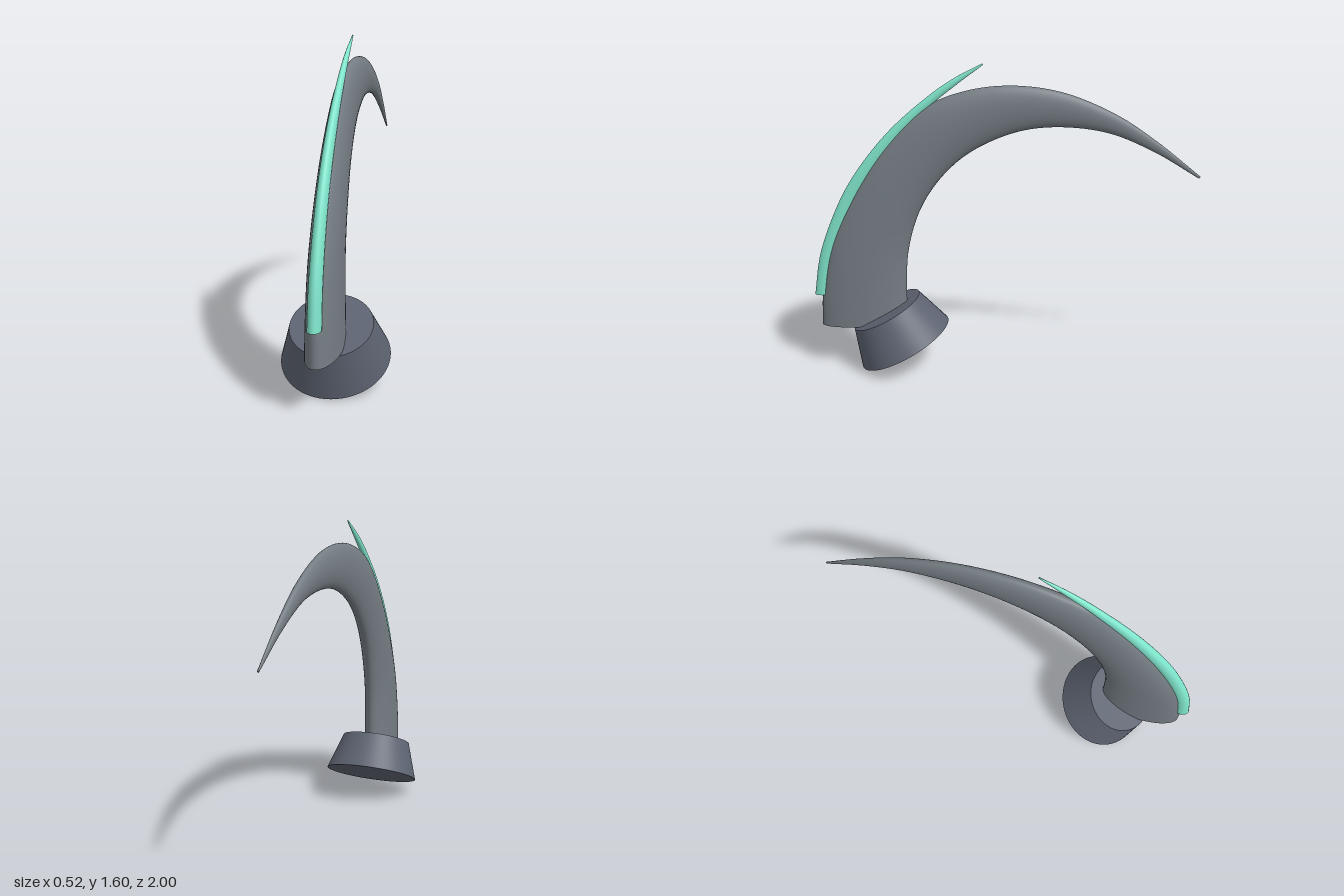
import * as THREE from 'three';

// Rows are [outer z, outer y, inner z, inner y, half width]; elliptical sections are lofted through them.
const hornRows = [
  [0.97, 0.23, 0.515, 0.25, 0.082], [0.96, 0.4, 0.515, 0.453, 0.078],
  [0.905, 0.667, 0.5, 0.64, 0.073], [0.755, 0.97, 0.44, 0.843, 0.067],
  [0.595, 1.2, 0.345, 1.0, 0.06], [0.39, 1.39, 0.22, 1.125, 0.054],
  [0.195, 1.467, 0.077, 1.21, 0.048], [-0.03, 1.493, -0.1, 1.27, 0.042],
  [-0.285, 1.46, -0.297, 1.285, 0.034], [-0.555, 1.35, -0.527, 1.253, 0.025],
  [-0.77, 1.21, -0.757, 1.157, 0.015], [-0.997, 1.03, -0.99, 1.02, 0.004],
];
const stripRows = [
  [1.0, 0.4, 0.915, 0.4, 0.031], [0.965, 0.603, 0.885, 0.58, 0.03],
  [0.895, 0.8, 0.82, 0.77, 0.028], [0.785, 1.013, 0.72, 0.97, 0.026],
  [0.595, 1.253, 0.552, 1.2, 0.022], [0.382, 1.44, 0.36, 1.4, 0.016],
  [0.25, 1.53, 0.235, 1.5, 0.011], [0.11, 1.602, 0.107, 1.594, 0.003],
];

function loftGeometry(rows, steps, sides) {
  const outer = new THREE.CatmullRomCurve3(rows.map(r => new THREE.Vector3(r[4], r[1], r[0])));
  const inner = new THREE.CatmullRomCurve3(rows.map(r => new THREE.Vector3(0, r[3], r[2])));
  const positions = [], index = [], rings = [];
  for (let i = 0; i <= steps; i++) {
    const o = outer.getPoint(i / steps), n = inner.getPoint(i / steps);
    const cy = (o.y + n.y) / 2, cz = (o.z + n.z) / 2;
    const ring = [];
    for (let j = 0; j < sides; j++) {
      const a = (j / sides) * Math.PI * 2;
      ring.push([o.x * Math.sin(a), cy + (o.y - cy) * Math.cos(a), cz + (o.z - cz) * Math.cos(a)]);
    }
    rings.push({ ring, centre: [0, cy, cz] });
    positions.push(...ring.flat());
  }
  for (let i = 0; i < steps; i++) {
    for (let j = 0; j < sides; j++) {
      const k = (j + 1) % sides;
      const a = i * sides + j, b = i * sides + k;
      index.push(a, b, a + sides, b, b + sides, a + sides);
    }
  }
  // End caps have their own vertices so that their rims stay sharp
  for (const end of [0, steps]) {
    const start = positions.length / 3;
    positions.push(...rings[end].ring.flat(), ...rings[end].centre);
    for (let j = 0; j < sides; j++) {
      const a = start + j, b = start + (j + 1) % sides, c = start + sides;
      index.push(c, ...(end === 0 ? [b, a] : [a, b]));
    }
  }
  const geometry = new THREE.BufferGeometry();
  geometry.setAttribute('position', new THREE.Float32BufferAttribute(positions, 3));
  geometry.setIndex(index);
  geometry.computeVertexNormals();
  return geometry;
}

export function createModel() {
  const model = new THREE.Group();
  model.name = 'hornOnBase';

  function add(name, geometry, color) {
    const mesh = new THREE.Mesh(geometry, new THREE.MeshStandardMaterial({ color }));
    mesh.name = name;
    model.add(mesh);
    return mesh;
  }

  // Curved, flattened horn tapering to the rear tip
  add('horn', loftGeometry(hornRows, 88, 40), 0x747c83);

  // Slim coloured strip along the outer edge, its tip standing free
  add('edgeStrip', loftGeometry(stripRows, 56, 24), 0x7fe5cc);

  // Tilted conical base
  const base = add('base', new THREE.CylinderGeometry(0.195, 0.26, 0.207, 64), 0x5c6270);
  base.position.set(0, 0.215, 0.579);
  base.rotation.x = 0.47;

  return model;
}
